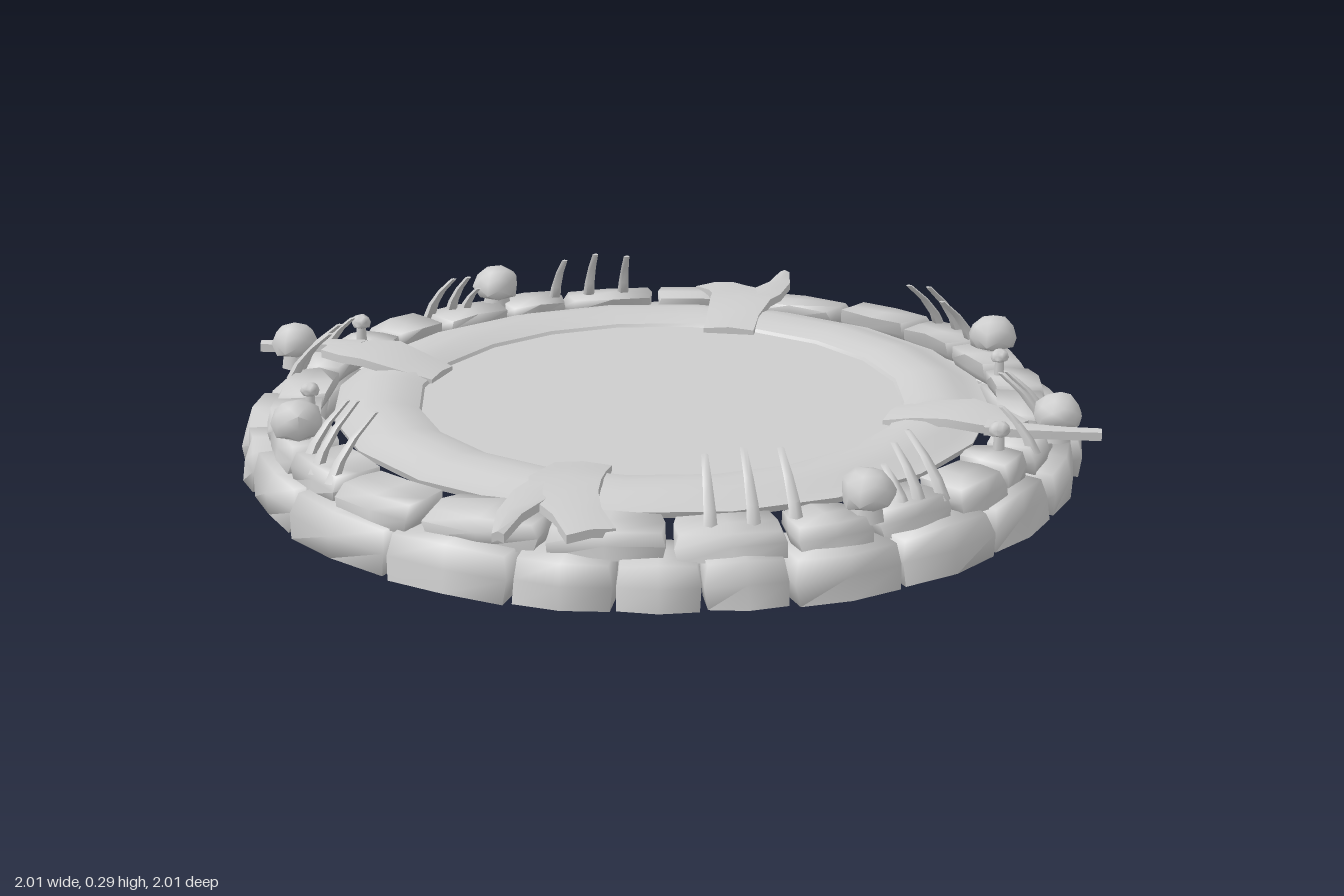
import * as THREE from 'three';
import { toCreasedNormals } from 'three/addons/utils/BufferGeometryUtils.js';

const rad = THREE.MathUtils.degToRad;

// repeatable noise in -0.5..0.5
function noise(...k) {
  let s = 0;
  k.forEach((v, i) => { s += Math.round(v * 10) * (12.9898 + 37.719 * i); });
  const f = Math.sin(s) * 43758.5453;
  return f - Math.floor(f) - 0.5;
}

// move every vertex of a geometry by a rule, then shade it softly with sharp edges
function reshape(geo, rule, crease = 0.8) {
  const p = geo.attributes.position;
  for (let i = 0; i < p.count; i++) p.setXYZ(i, ...rule(p.getX(i), p.getY(i), p.getZ(i)));
  return toCreasedNormals(geo, crease);
}

// rough pillow-like stone bent along the ring, between two angles (x towards z)
function stoneGeometry(from, to, rIn, rOut, y0, y1, seed) {
  const mid = rad(90 - (from + to) / 2), half = rad(to - from) / 2;
  return reshape(new THREE.BoxGeometry(2, 2, 2, 2, 2, 2), (x, y, z) => {
    const n = noise(x, y, z, seed), m = noise(z, x, y, seed + 3);
    const edges = Math.abs(x) + Math.abs(y) + Math.abs(z);
    const round = edges > 2.5 ? 0.92 : edges > 1.5 ? 0.98 : 1.02;
    const a = mid + half * x * (round + n * 0.08);
    const r = (rIn + rOut) / 2 + z * (rOut - rIn) / 2 * (round + m * 0.18) - y * 0.008;
    const bulge = y > 0 ? round + n * 0.2 : 1;
    const undercut = y < 0 ? 0.008 * (1 - z) : 0;
    const h = (y0 + y1) / 2 + y * (y1 - y0) / 2 * bulge + undercut;
    return [r * Math.sin(a), h, r * Math.cos(a)];
  }, 1.7);
}

// flat strip through stations [x, z, y, halfWidth]
function stripGeometry(stations, thick) {
  const n = stations.length - 1;
  return reshape(new THREE.BoxGeometry(1, 1, 1, 2, 1, n), (x, y, z) => {
    const i = Math.round((z + 0.5) * n);
    const s = stations[i], a = stations[Math.max(0, i - 1)], b = stations[Math.min(n, i + 1)];
    const d = new THREE.Vector2(b[0] - a[0], b[1] - a[1]).normalize();
    const w = x * 2 * s[3], crown = x === 0 ? 0.006 : 0;
    return [s[0] + d.y * w, s[2] + y * thick + crown, s[1] - d.x * w];
  });
}

// tapered blade leaning towards the middle
function bladeGeometry(x, z, h, lean) {
  const r = Math.hypot(x, z);
  return reshape(new THREE.CylinderGeometry(0.008, 0.017, 1, 5, 3), (px, py, pz) => {
    const t = py + 0.5, pull = lean * t * (0.4 + 0.6 * t);
    return [x + px - x / r * pull, 0.14 + t * h, z + pz - z / r * pull];
  }, 1.3);
}

export function createModel() {
  const model = new THREE.Group();
  const grey = new THREE.MeshStandardMaterial({ color: 0xcccccc, side: THREE.DoubleSide });
  grey.name = 'plain grey';
  const add = (parent, name, geo) => {
    const mesh = new THREE.Mesh(geo, grey);
    mesh.name = name;
    parent.add(mesh);
    return mesh;
  };

  // water sheet and rounded basin rim with a shallow belly
  const water = add(model, 'water', new THREE.CircleGeometry(0.585, 20));
  water.rotation.x = -Math.PI / 2;
  water.position.y = 0.148;
  const profile = [[0.79, 0.145], [0.785, 0.13], [0.76, 0.122], [0.71, 0.115], [0.65, 0.12],
    [0.59, 0.13], [0.575, 0.14], [0.585, 0.156], [0.62, 0.17], [0.67, 0.176], [0.72, 0.168],
    [0.75, 0.152], [0.79, 0.145]];
  const rim = new THREE.LatheGeometry(profile.map(([r, y]) => new THREE.Vector2(r, y)), 20);
  add(model, 'basinRim', toCreasedNormals(rim, 0.6));

  // everything on the border repeats after half a turn
  for (let side = 0; side < 2; side++) {
    const half = new THREE.Group();
    half.name = side ? 'backBorder' : 'frontBorder';
    half.rotation.y = side * Math.PI;
    model.add(half);

    // lower course of stones
    const lower = [6, 21, 37, 53, 70, 85, 96, 107, 120, 138, 158, 175, 186];
    for (let i = 0; i < lower.length - 1; i++) {
      const out = 0.995 + noise(i, 5) * 0.025;
      add(half, 'lowerStone', stoneGeometry(lower[i] + 0.1, lower[i + 1] - 0.1,
        0.835, out, 0, 0.104, i + 1));
    }

    // upper course, smaller and less regular
    const upper = [-2, 9, 24, 38, 46, 58, 72, 84, 100, 117, 135, 150, 164, 178];
    for (let i = 0; i < upper.length - 1; i++) {
      const shift = noise(i, 9) * 0.03;
      add(half, 'upperStone', stoneGeometry(upper[i] + 0.6, upper[i + 1] - 0.6,
        0.825 + shift, 0.945 + shift, 0.095, 0.16 + noise(i, 2) * 0.015, i + 31));
    }

    // forked root draped over the rim
    add(half, 'forkedRoot', stripGeometry([
      [-0.27, 0.47, 0.15, 0.065], [-0.3, 0.55, 0.168, 0.068], [-0.34, 0.64, 0.182, 0.08],
      [-0.355, 0.72, 0.176, 0.075], [-0.34, 0.8, 0.165, 0.055], [-0.325, 0.89, 0.15, 0.055]], 0.02));
    add(half, 'rootBranch', stripGeometry([
      [-0.36, 0.62, 0.178, 0.04], [-0.42, 0.7, 0.176, 0.045],
      [-0.485, 0.8, 0.172, 0.028], [-0.525, 0.91, 0.168, 0.013]], 0.02));

    // broad root with a thin outer end
    add(half, 'broadRoot', stripGeometry([
      [0.5, 0.255, 0.148, 0.058], [0.57, 0.3, 0.168, 0.072], [0.64, 0.36, 0.184, 0.085],
      [0.7, 0.41, 0.178, 0.07], [0.76, 0.46, 0.17, 0.035]], 0.02));
    add(half, 'rootTip', stripGeometry([
      [0.68, 0.44, 0.176, 0.04], [0.76, 0.485, 0.174, 0.025],
      [0.85, 0.51, 0.17, 0.018], [0.925, 0.53, 0.168, 0.014]], 0.02));

    // domed caps on short stems; the small ones are sprouts
    const caps = [[0.28, 0.865, 0.06], [-0.885, 0.17, 0.06], [0.845, 0.45, 0.055],
      [0.67, 0.56, 0.024], [0.84, 0.03, 0.022]];
    caps.forEach(([x, z, r], i) => {
      const cap = reshape(new THREE.IcosahedronGeometry(r, 1), (px, py, pz) => {
        const s = 1 + noise(px / r, py / r, pz / r, i) * 0.14;
        return [px * s, Math.max(py * s * 0.92, -r * 0.5), pz * s];
      }, 1);
      add(half, 'domedCap', cap).position.set(x, r > 0.03 ? 0.198 : 0.207, z);
      const stem = add(half, 'capStem', new THREE.CylinderGeometry(r * 0.5, r * 0.65, 0.06, 7));
      stem.position.set(x, 0.165, z);
    });

    // grass blades
    const blades = [[0.025, 0.89, 0.15, 0.1], [0.12, 0.88, 0.14, 0.1], [-0.07, 0.89, 0.14, 0.1],
      [0.41, 0.82, 0.12, 0.09], [0.47, 0.79, 0.13, 0.11], [0.37, 0.83, 0.08, 0.07],
      [0.86, 0.34, 0.12, 0.1], [0.84, 0.39, 0.13, 0.11], [0.76, 0.54, 0.1, 0.08],
      [-0.87, 0.28, 0.13, 0.1], [-0.86, 0.36, 0.15, 0.11], [-0.83, 0.43, 0.14, 0.12]];
    blades.forEach((b) => add(half, 'grassBlade', bladeGeometry(...b)));
  }
  return model;
}
